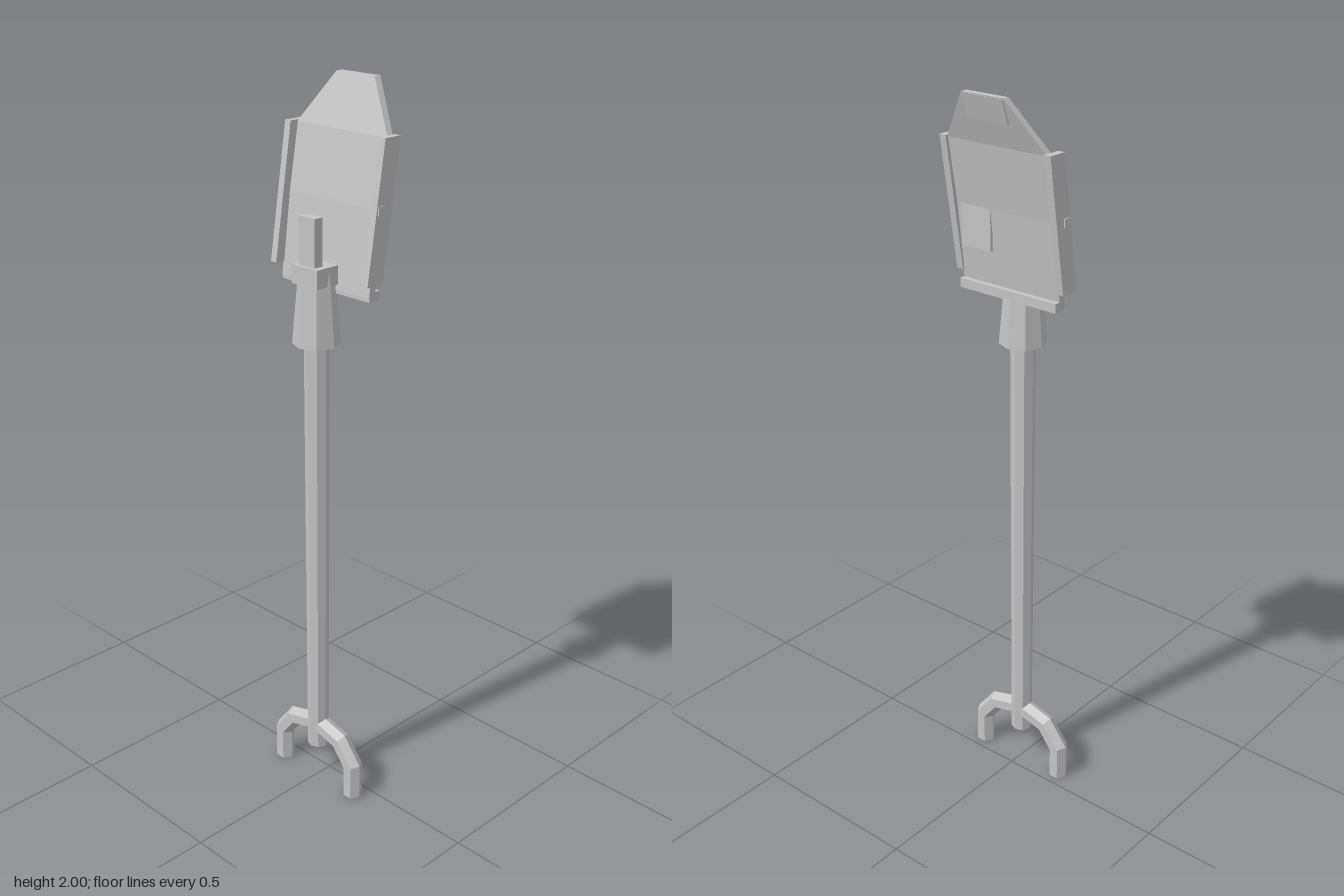
import * as THREE from 'three';

const steel = new THREE.MeshStandardMaterial({ color: 0xc4c4c4, flatShading: true });
steel.name = 'light grey steel';

// Skins a stack of equal rings (counter-clockwise about the direction of travel) and caps both ends.
function loft(rings) {
  const pos = [];
  const tri = (a, b, c) => [a, b, c].forEach((p) => pos.push(p.x, p.y, p.z));
  const n = rings[0].length;
  for (let r = 0; r < rings.length - 1; r++) {
    const a = rings[r], b = rings[r + 1];
    for (let i = 0; i < n; i++) {
      const j = (i + 1) % n;
      tri(a[i], a[j], b[j]);
      tri(a[i], b[j], b[i]);
    }
  }
  const first = rings[0], last = rings[rings.length - 1];
  for (let i = 1; i < n - 1; i++) {
    tri(first[0], first[i + 1], first[i]);
    tri(last[0], last[i], last[i + 1]);
  }
  const g = new THREE.BufferGeometry();
  g.setAttribute('position', new THREE.Float32BufferAttribute(pos, 3));
  g.computeVertexNormals();
  return g;
}

// Horizontal rectangle used as a loft ring
const rect = (y, x0, x1, z0, z1) =>
  [[x1, z1], [x1, z0], [x0, z0], [x0, z1]].map(([x, z]) => new THREE.Vector3(x, y, z));

// Hexagonal bar along a path in the xy plane, with mitred corners
function bar(path, r, z) {
  const pts = path.map(([x, y]) => new THREE.Vector2(x, y));
  return loft(pts.map((p, i) => {
    const before = p.clone().sub(pts[Math.max(i - 1, 0)]).normalize();
    const after = pts[Math.min(i + 1, pts.length - 1)].clone().sub(p).normalize();
    const t = before.clone().add(after).normalize();
    const stretch = 1 / Math.max(t.dot(before), t.dot(after));
    return Array.from({ length: 6 }, (_, k) => {
      const a = (k * Math.PI) / 3, u = Math.cos(a) * r * stretch;
      return new THREE.Vector3(p.x - t.y * u, p.y + t.x * u, z + Math.sin(a) * r);
    });
  }));
}

export function createModel() {
  const model = new THREE.Group();
  const axisZ = 0.046;
  const add = (name, geometry, x = 0, y = 0, z = 0) => {
    const mesh = new THREE.Mesh(geometry, steel);
    mesh.name = name;
    mesh.position.set(x, y, z);
    model.add(mesh);
    return mesh;
  };
  const box = (name, x0, x1, y0, y1, z0, z1) =>
    add(name, new THREE.BoxGeometry(x1 - x0, y1 - y0, z1 - z0), (x0 + x1) / 2, (y0 + y1) / 2, (z0 + z1) / 2);
  const post = (name, rTop, rBottom, y0, y1) =>
    add(name, new THREE.CylinderGeometry(rTop, rBottom, y1 - y0, 8), 0, (y0 + y1) / 2, axisZ);

  // Shaft, flared socket and its head
  post('shaft', 0.034, 0.03, 0.11, 1.4);
  post('socket', 0.046, 0.064, 1.335, 1.535);
  box('socketHead', -0.046, 0.046, 1.495, 1.545, 0.015, 0.09);
  box('tongue', -0.028, 0.028, 1.54, 1.67, 0.053, 0.08);

  // Bent blade: rows of height, half width and front depth
  const rows = [[1.48, 0.157, 0.018], [1.7, 0.157, -0.01], [1.87, 0.157, -0.04], [2, 0.065, -0.09]];
  add('blade', loft(rows.map(([y, w, z]) => rect(y, -w, w, z - 0.02, z))));
  box('bladeFootBar', -0.157, 0.157, 1.47, 1.495, -0.02, 0.016);

  // Thin plates on the back of the blade
  box('backPatch', 0.045, 0.14, 1.59, 1.705, -0.03, -0.021);
  add('tipPlate', loft([
    rect(1.935, -0.063, 0.063, -0.091, -0.083),
    rect(1.998, -0.063, 0.063, -0.112, -0.104),
  ]));

  // Side rails with pins, and the two arms of the fork grip
  for (const s of [1, -1]) {
    const side = s > 0 ? 'left' : 'right';
    const lo = Math.min(s * 0.154, s * 0.174), hi = Math.max(s * 0.154, s * 0.174);
    add(side + 'Rail', loft([
      rect(1.517, lo, hi, -0.012, 0.042),
      rect(1.875, lo, hi, -0.069, -0.015),
    ]));
    add(side + 'Pin', new THREE.BoxGeometry(0.02, 0.022, 0.022), s * 0.167, 1.702, -0.003);
    const path = [[0, 0.18], [0.035, 0.172], [0.092, 0.157], [0.14, 0.096], [0.14, 0]];
    add(side + 'GripArm', bar(path.map(([x, y]) => [s * x, y]), 0.027, axisZ));
  }
  return model;
}
